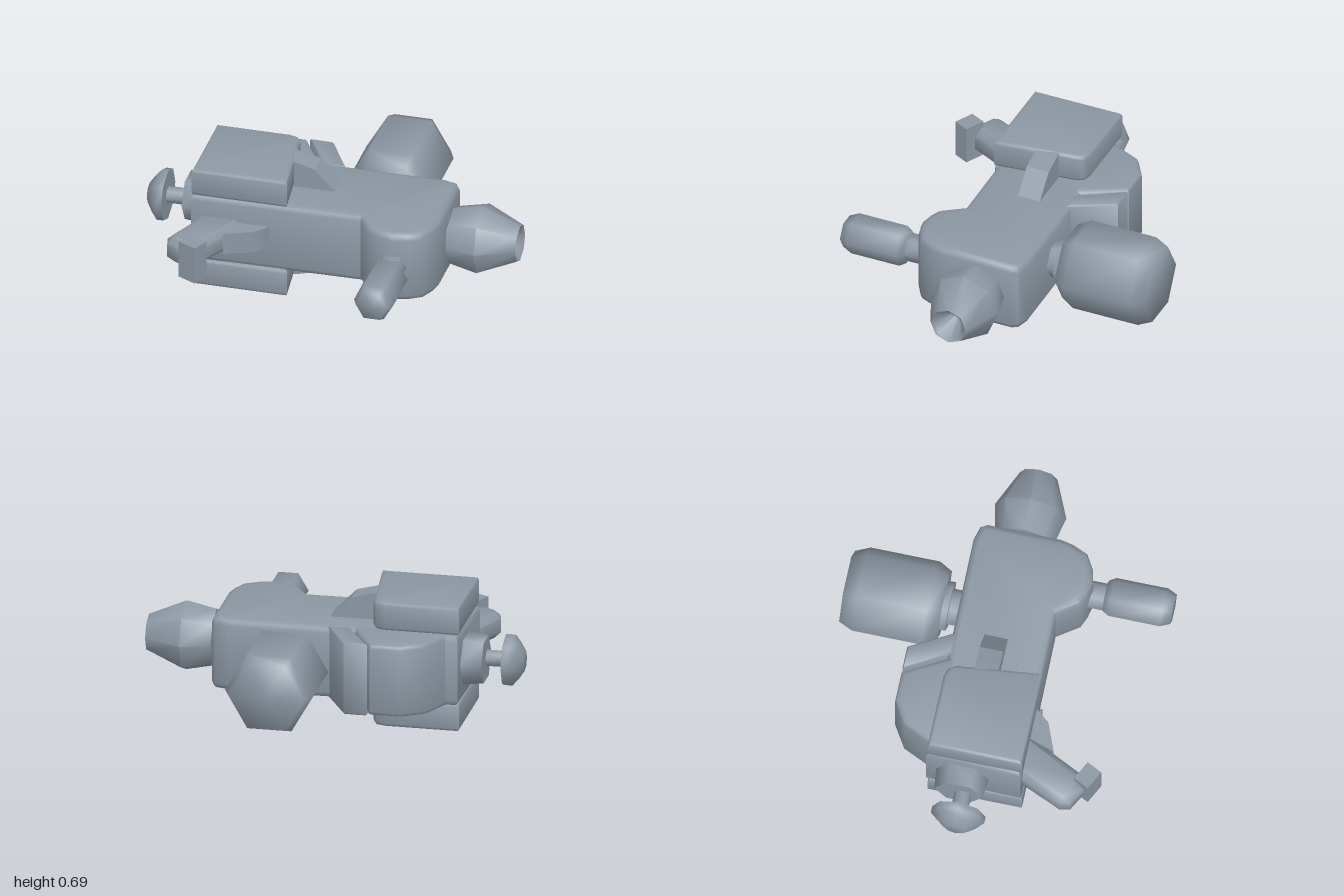
import * as THREE from 'three';
import { toCreasedNormals } from 'three/addons/utils/BufferGeometryUtils.js';

const MID = 0.343; // height of the horizontal mirror plane

export function createModel() {
  const model = new THREE.Group();
  model.name = 'device';
  const metal = new THREE.MeshStandardMaterial({ color: 0x8c97a3 });
  metal.name = 'blue grey metal';

  const add = (name, geometry) => {
    const mesh = new THREE.Mesh(geometry, metal);
    mesh.name = name;
    model.add(mesh);
    return mesh;
  };

  // Plan outline of [x, z] points, raised from y0 to y1 with rounded edges
  const slab = (name, outline, y0, y1, bevel = 0, segments = 2) => {
    const shape = new THREE.Shape(outline.map(([x, z]) => new THREE.Vector2(x, -z)));
    const g = new THREE.ExtrudeGeometry(shape, {
      depth: y1 - y0 - 2 * bevel, bevelEnabled: bevel > 0,
      bevelSize: bevel, bevelThickness: bevel, bevelOffset: -bevel, bevelSegments: segments,
    });
    g.rotateX(-Math.PI / 2).translate(0, y0 + bevel, 0);
    return add(name, toCreasedNormals(g, 0.85));
  };

  // Turned part: profile of [radius, distance] along the x or z axis
  const turned = (name, profile, sides, axis, x, y, z, crease = 1.2) => {
    const points = profile.map(([r, d]) => new THREE.Vector2(r, d));
    const g = new THREE.LatheGeometry(points, sides, axis === 'z' ? Math.PI / 2 : 0);
    if (axis === 'x') g.rotateZ(-Math.PI / 2);
    else g.rotateX(Math.PI / 2);
    g.translate(x, y, z);
    return add(name, toCreasedNormals(g, crease));
  };

  // Main body with a bulge at the front
  slab('body', [
    [-0.70, 0.27], [0.21, 0.26], [0.29, 0.375], [0.35, 0.40], [0.42, 0.415], [0.50, 0.395],
    [0.575, 0.35], [0.61, 0.27], [0.625, 0.20], [0.625, -0.19], [0.605, -0.225], [0.53, -0.245],
    [-0.69, -0.235],
  ], 0.14, 0.535, 0.035);

  // Rear housing and the separate strip beside it
  slab('rearHousing', [
    [-0.68, -0.15], [-0.62, -0.24], [-0.555, -0.38], [-0.435, -0.455], [-0.27, -0.455],
    [-0.135, -0.22], [-0.135, -0.15],
  ], 0.14, 0.535, 0.025);
  slab('rearStrip', [
    [-0.255, -0.455], [-0.13, -0.455], [0.0, -0.22], [-0.115, -0.22],
  ], 0.14, 0.535, 0.008, 1);

  // Covers and sloping fins, above and below
  const cover = [
    [-0.695, -0.225], [-0.30, -0.225], [-0.25, -0.21], [-0.23, -0.17], [-0.18, 0.275], [-0.695, 0.275],
  ];
  slab('topCover', cover, 0.53, 0.686, 0.02);
  slab('bottomCover', cover, 0, 0.156, 0.02);
  for (const side of [1, -1]) {
    const shape = new THREE.Shape([
      [-0.23, 0.175], [-0.23, 0.34], [-0.18, 0.33], [-0.095, 0.307], [0.02, 0.19], [0.02, 0.175],
    ].map(([x, y]) => new THREE.Vector2(x, MID + side * y)));
    const fin = new THREE.ExtrudeGeometry(shape, { depth: 0.125, bevelEnabled: false });
    add(side > 0 ? 'topFin' : 'bottomFin', fin.translate(0, 0, -0.077));
  }

  // Slanted handle with end tab, and the wedge next to it
  slab('handle', [
    [-0.63, 0.18], [-0.765, 0.49], [-0.752, 0.545], [-0.65, 0.60], [-0.575, 0.56], [-0.39, 0.18],
  ], 0.27, 0.415, 0.035, 1);
  const tab = add('handleTab', new THREE.BoxGeometry(0.113, 0.21, 0.09));
  tab.position.set(-0.6, 0.345, 0.605);
  tab.rotation.y = -0.46;
  slab('wedge', [
    [-0.44, 0.24], [-0.49, 0.40], [-0.34, 0.34], [-0.275, 0.26], [-0.275, 0.24],
  ], 0.28, 0.40);

  // Hollow eight-sided muzzle on a short shaft
  turned('muzzle', [
    [0, 0.64], [0.155, 0.64], [0.19, 0.80], [0.10, 1.0], [0.085, 0.99], [0, 0.82],
  ], 8, 'x', 0, 0.347, 0, 0.9);
  turned('muzzleShaft', [[0, 0.58], [0.10, 0.58], [0.10, 0.66], [0, 0.66]], 8, 'x', 0, 0.347, 0);

  // Front grip and its neck
  turned('frontNeck', [[0, 0.36], [0.075, 0.36], [0.075, 0.50], [0, 0.50]], 6, 'z', 0.42, MID, 0);
  turned('frontGrip', [
    [0, 0.48], [0.085, 0.48], [0.107, 0.515], [0.107, 0.79], [0.083, 0.84], [0, 0.84],
  ], 6, 'z', 0.428, 0.345, 0);

  // Rear canister with neck and collar
  turned('rearNeck', [[0, -0.35], [0.10, -0.35], [0.10, -0.22], [0, -0.22]], 6, 'z', 0.2, MID, 0);
  turned('rearCollar', [[0, -0.335], [0.137, -0.335], [0.137, -0.295], [0, -0.295]], 6, 'z', 0.2, MID, 0);
  turned('rearCanister', [
    [0, -0.845], [0.20, -0.845], [0.235, -0.77], [0.235, -0.40], [0.195, -0.33], [0, -0.33],
  ], 6, 'z', 0.196, 0.345, 0);

  // Pull knob on the side: socket, rod and rounded head
  turned('knobSocket', [[0, -0.80], [0.128, -0.80], [0.144, -0.66], [0, -0.66]], 6, 'x', 0, 0.347, -0.04);
  turned('knobRod', [[0.045, -0.93], [0.045, -0.78]], 8, 'x', 0, 0.347, -0.015);
  turned('knobHead', [
    [0, -1.0], [0.055, -1.0], [0.10, -0.97], [0.142, -0.935], [0.142, -0.90], [0, -0.90],
  ], 8, 'x', 0, 0.345, -0.015);

  return model;
}
